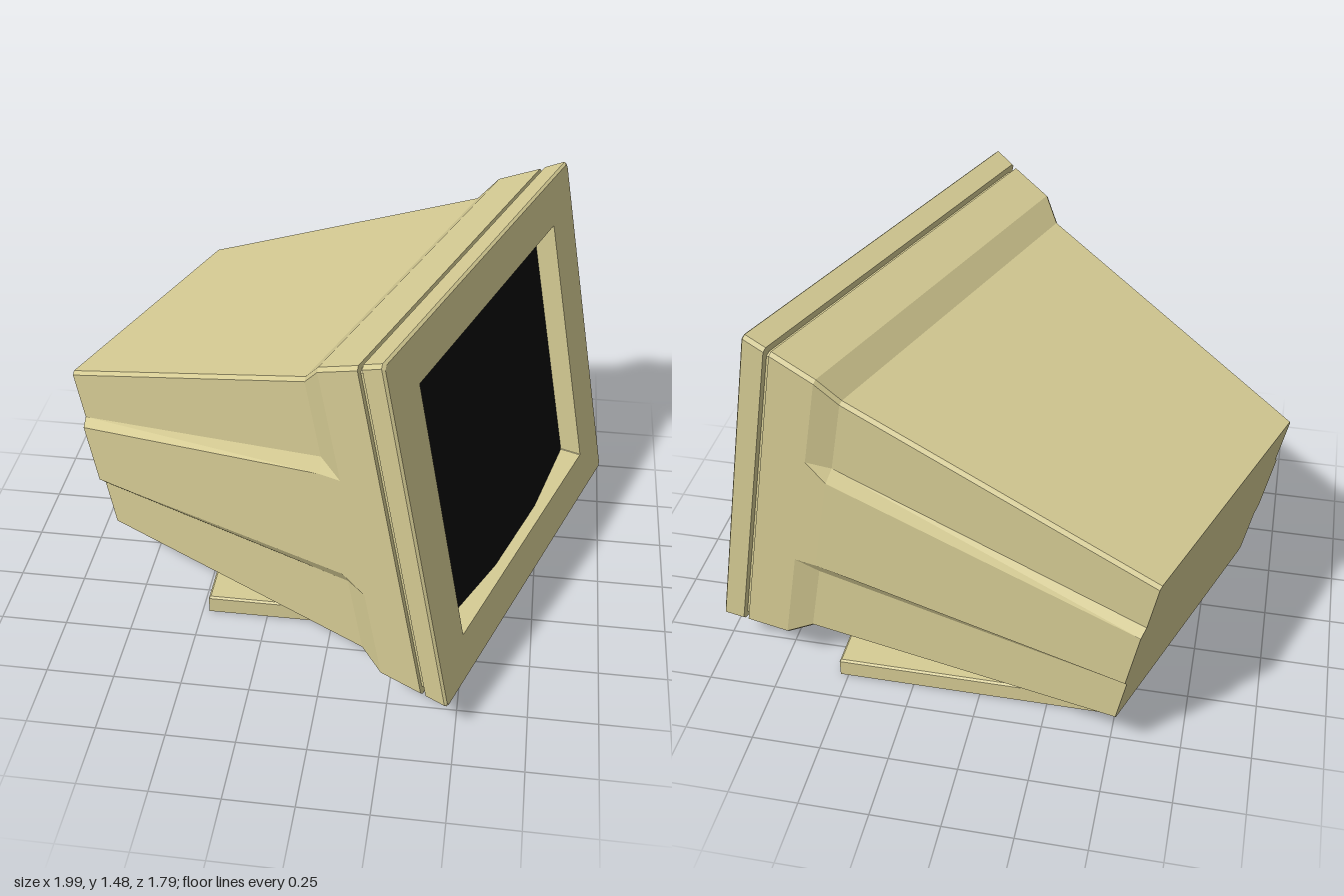
import * as THREE from 'three';

const BEIGE = 0xd6cc94;
const TURN = THREE.MathUtils.degToRad(70);
const lean = (y) => -0.2 * (y - 0.15); // the whole case leans back with height

function makeMesh(name, geometry, color) {
  const mesh = new THREE.Mesh(geometry, new THREE.MeshStandardMaterial({ color, flatShading: true }));
  mesh.name = name;
  return mesh;
}

// Cross-section: chamfered rectangle whose sides carry a raised band (p = how far it stands out)
function section({ w, h, b, t, c = 0.012, p = 0, ys = [0.5, 0.55, 0.96, 1.02] }) {
  const side = [
    [h - c, b], [h, b + c], [h, ys[0]], [h + p, ys[1]],
    [h + p, ys[2]], [h, ys[3]], [h, t - c], [h - c, t],
  ];
  const mirrored = side.map(([x, y]) => [-x, y]).reverse();
  return [...side, ...mirrored].map(([x, y]) => [x, y, w + lean(y)]);
}

// Skin consecutive sections, listed from back to front; optionally close the back
function loft(specs, closeBack = false) {
  const rings = specs.map(section);
  const n = rings[0].length;
  const positions = [];
  const tri = (...points) => points.forEach((q) => positions.push(...q));
  for (let i = 0; i < rings.length - 1; i++) {
    for (let j = 0; j < n; j++) {
      const k = (j + 1) % n;
      tri(rings[i][j], rings[i][k], rings[i + 1][k]);
      tri(rings[i][j], rings[i + 1][k], rings[i + 1][j]);
    }
  }
  if (closeBack) {
    const y = (specs[0].b + specs[0].t) / 2;
    const centre = [0, y, specs[0].w + lean(y)];
    for (let j = 0; j < n; j++) tri(centre, rings[0][(j + 1) % n], rings[0][j]);
  }
  const geometry = new THREE.BufferGeometry();
  geometry.setAttribute('position', new THREE.Float32BufferAttribute(positions, 3));
  geometry.computeVertexNormals();
  return geometry;
}

export function createModel() {
  const model = new THREE.Group();
  model.name = 'monitor';

  // Case, turned on its stand
  const head = new THREE.Group();
  head.name = 'case';
  head.rotation.y = TURN;
  const centred = new THREE.Group();
  centred.name = 'caseBody';
  centred.position.x = 0.096;
  head.add(centred);
  model.add(head);

  // Rear housing: tapering tail, neck step, collar and the recessed seam
  centred.add(makeMesh('rearHousing', loft([
    { w: -0.768, h: 0.52, b: 0.2, t: 0.87, p: 0.027, ys: [0.39, 0.42, 0.65, 0.68] },
    { w: 0.394, h: 0.695, b: 0.2, t: 1.29, p: 0.027, ys: [0.5, 0.55, 0.95, 1.0] },
    { w: 0.477, h: 0.734, b: 0.152, t: 1.37 },
    { w: 0.642, h: 0.757, b: 0.15, t: 1.437 },
    { w: 0.642, h: 0.74, b: 0.167, t: 1.42 },
    { w: 0.662, h: 0.74, b: 0.167, t: 1.42 },
  ], true), BEIGE));

  // Bezel: outer rim, softened front edge, face and recess walls
  centred.add(makeMesh('bezel', loft([
    { w: 0.662, h: 0.74, b: 0.167, t: 1.42 },
    { w: 0.662, h: 0.76, b: 0.15, t: 1.447 },
    { w: 0.739, h: 0.772, b: 0.15, t: 1.48 },
    { w: 0.747, h: 0.764, b: 0.157, t: 1.473 },
    { w: 0.747, h: 0.579, b: 0.32, t: 1.31, c: 0.002 },
    { w: 0.64, h: 0.579, b: 0.32, t: 1.31, c: 0.002 },
  ]), BEIGE));

  // Screen: glass bowed across its width
  const glass = new THREE.PlaneGeometry(1.158, 0.99, 3, 1);
  glass.translate(0, 0.815, 0);
  const pos = glass.attributes.position;
  for (let i = 0; i < pos.count; i++) {
    const bow = Math.abs(pos.getX(i)) < 0.4 ? 0.705 : 0.665;
    pos.setZ(i, bow + lean(pos.getY(i)));
  }
  glass.computeVertexNormals();
  centred.add(makeMesh('screen', glass, 0x0a0a0a));

  // Stand: flared swivel pedestal on a square foot
  const stand = new THREE.Group();
  stand.name = 'stand';
  stand.position.set(0.028, 0, -0.137);
  model.add(stand);

  const flare = [[0.298, 0.06], [0.292, 0.08], [0.265, 0.105], [0.235, 0.16], [0.215, 0.22]];
  stand.add(makeMesh('pedestal', new THREE.LatheGeometry(
    flare.map(([r, y]) => new THREE.Vector2(r, y)), 12), BEIGE));

  const half = 0.502 * Math.SQRT2;
  const rim = [[0, 0], [half, 0], [half, 0.064], [half - 0.01, 0.071], [0, 0.071]];
  const foot = new THREE.LatheGeometry(rim.map(([r, y]) => new THREE.Vector2(r, y)), 4, Math.PI / 4);
  stand.add(makeMesh('foot', foot, BEIGE));

  return model;
}
